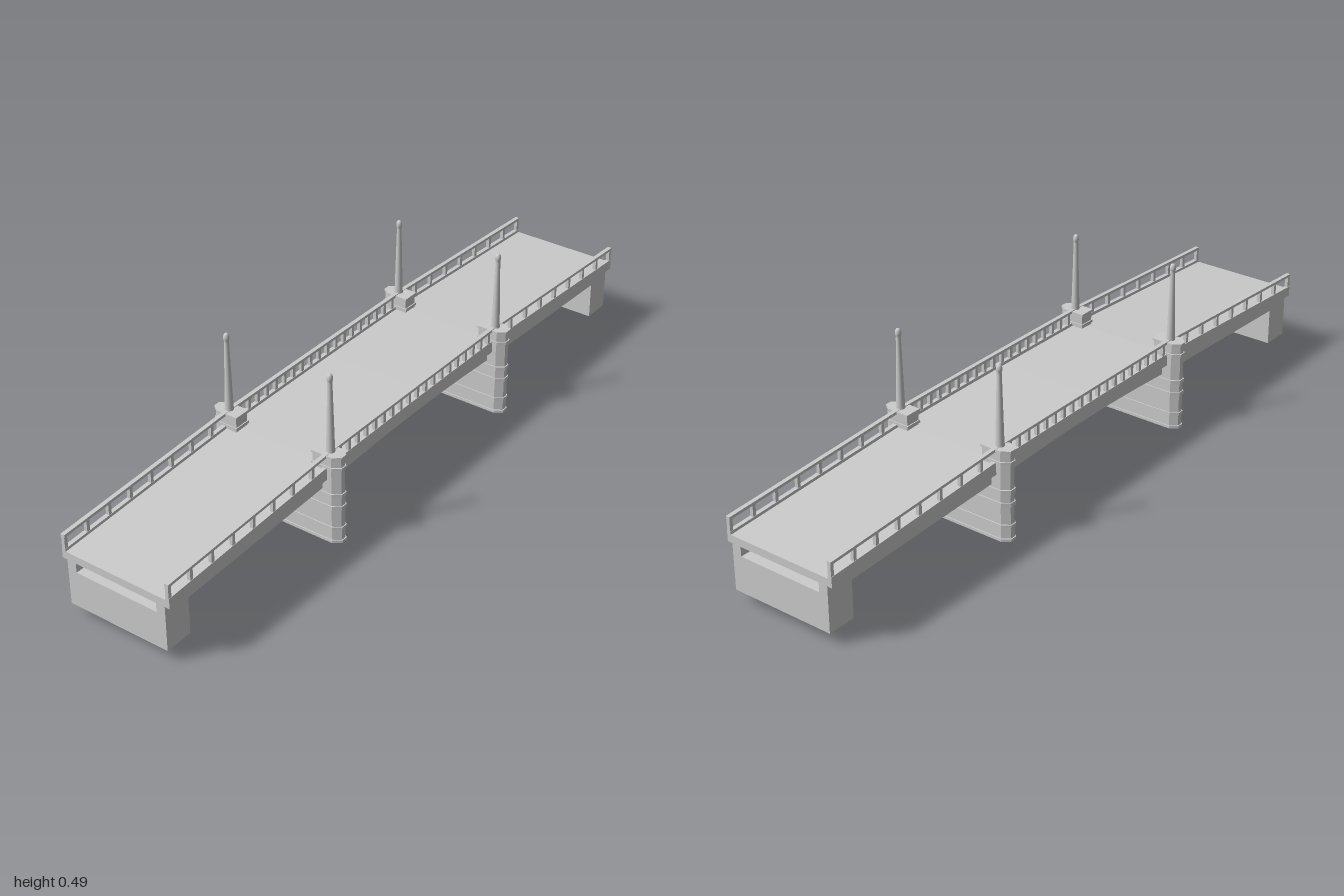
import * as THREE from 'three';

const grey = new THREE.MeshStandardMaterial({ color: 0xcccccc, flatShading: true });
const smooth = new THREE.MeshStandardMaterial({ color: 0xcccccc });

const PIER_X = 0.376, END = 1, RAIL_Z = 0.162;

function add(parent, name, geometry, material = grey) {
  const mesh = new THREE.Mesh(geometry, material);
  mesh.name = name;
  parent.add(mesh);
  return mesh;
}

function box(parent, name, x0, x1, y0, y1, z0, z1) {
  const mesh = add(parent, name, new THREE.BoxGeometry(x1 - x0, y1 - y0, z1 - z0));
  mesh.position.set((x0 + x1) / 2, (y0 + y1) / 2, (z0 + z1) / 2);
  return mesh;
}

// Height line along the bridge: rising to the piers, then a gentle crown
const line = (end, pier, mid) => (x) => {
  const a = Math.abs(x);
  if (a > PIER_X) return pier + (end - pier) * (a - PIER_X) / (END - PIER_X);
  return mid + (pier - mid) * (a / PIER_X) ** 2;
};
const roadTop = line(0.187, 0.217, 0.219);
const slabBottom = line(0.165, 0.19, 0.199);
const girderBottom = line(0.138, 0.158, 0.171);
const kerbTop = line(0.195, 0.226, 0.228);
const railTop = line(0.235, 0.264, 0.265);

// Solid strip between two height lines, extruded across z
function strip(parent, name, bottom, top, z0, z1) {
  const xs = [-END];
  for (let i = -8; i <= 8; i++) xs.push(PIER_X * i / 8);
  xs.push(END);
  const points = xs.map((x) => new THREE.Vector2(x, bottom(x)));
  xs.reverse().forEach((x) => points.push(new THREE.Vector2(x, top(x))));
  const geometry = new THREE.ExtrudeGeometry(new THREE.Shape(points), { depth: z1 - z0, bevelEnabled: false });
  geometry.translate(0, 0, z0);
  return add(parent, name, geometry);
}

// Upright prism with a chamfered nose at +z; the other end is flat or mirrored
function noseBlock(parent, name, y0, y1, inner, grow = 0) {
  const w = 0.022 + grow, n = 0.008 + grow / 2, tip = 0.202 + grow, shoulder = 0.181 + grow;
  const half = [[w, shoulder], [n, tip], [-n, tip], [-w, shoulder]];
  const tail = inner === null
    ? half.map(([x, z]) => [-x, -z])
    : [[-w, inner - grow], [w, inner - grow]];
  const shape = new THREE.Shape([...half, ...tail].map(([x, z]) => new THREE.Vector2(x, -z)));
  const geometry = new THREE.ExtrudeGeometry(shape, { depth: y1 - y0, bevelEnabled: false });
  geometry.rotateX(-Math.PI / 2);
  geometry.translate(0, y0, 0);
  return add(parent, name, geometry);
}

function createPier() {
  const pier = new THREE.Group();
  pier.name = 'pier';
  noseBlock(pier, 'pierWall', 0, 0.165, null);
  // String courses around the wall
  for (const [y0, y1] of [[0, 0.008], [0.041, 0.049], [0.102, 0.113], [0.138, 0.15]]) {
    noseBlock(pier, 'pierBand', y0, y1, null, 0.003);
  }

  // Pedestals rising past the deck, each with a tapered mast
  const mastProfile = [
    [0, 0.255], [0.0125, 0.255], [0.0125, 0.262], [0.0115, 0.268], [0.0065, 0.462],
    [0.0062, 0.467], [0.0078, 0.471], [0.0082, 0.477], [0.007, 0.484], [0.004, 0.488], [0, 0.489],
  ].map(([r, y]) => new THREE.Vector2(r, y));
  for (const side of [1, -1]) {
    const tower = new THREE.Group();
    tower.name = 'pierTower';
    noseBlock(tower, 'pedestal', 0.16, 0.258, 0.123);
    noseBlock(tower, 'pedestalBand', 0.222, 0.23, 0.123, 0.003);
    noseBlock(tower, 'pedestalCap', 0.256, 0.262, 0.123, 0.003);
    add(tower, 'mast', new THREE.LatheGeometry(mastProfile, 16), smooth).position.z = 0.163;
    tower.rotation.y = side > 0 ? 0 : Math.PI;
    pier.add(tower);
  }
  return pier;
}

function createAbutment() {
  const abutment = new THREE.Group();
  abutment.name = 'abutment';
  box(abutment, 'abutmentBlock', 0.918, 1, 0.034, 0.138, -0.153, 0.153);
  // Bearing recess under the end of the deck
  box(abutment, 'recessWall', 0.918, 0.95, 0.138, 0.168, -0.126, 0.126);
  for (const s of [1, -1]) {
    box(abutment, 'recessCheek', 0.918, 1, 0.138, 0.168, s > 0 ? 0.126 : -0.153, s > 0 ? 0.153 : -0.126);
  }
  return abutment;
}

function createRailing(side) {
  const railing = new THREE.Group();
  railing.name = 'railing';
  const z = side * RAIL_Z;
  strip(railing, 'kerb', slabBottom, kerbTop, z - 0.006, z + 0.006);
  strip(railing, 'topRail', (x) => railTop(x) - 0.008, railTop, z - 0.006, z + 0.006);

  const posts = [];
  for (let i = -5; i <= 5; i++) posts.push(i * PIER_X / 5);
  for (let i = 1; i <= 8; i++) {
    const x = PIER_X + (END - 0.005 - PIER_X) * i / 8;
    posts.push(x, -x);
  }
  // Intermediate posts of the middle span
  for (let i = -5; i < 5; i++) posts.push((i + 0.5) * PIER_X / 5);
  for (const x of posts) {
    box(railing, 'railPost', x - 0.005, x + 0.005, kerbTop(x) - 0.004, railTop(x) - 0.004, z - 0.005, z + 0.005);
  }
  return railing;
}

export function createModel() {
  const bridge = new THREE.Group();
  bridge.name = 'bridge';

  // Road slab, with the arched girder set in below it
  strip(bridge, 'roadSlab', slabBottom, roadTop, -0.157, 0.157);
  const girder = new THREE.Group();
  girder.name = 'girder';
  bridge.add(girder);
  const span = 0.918;
  const xs = Array.from({ length: 25 }, (_, i) => -span + (2 * span * i) / 24);
  const outline = xs.map((x) => new THREE.Vector2(x, girderBottom(x)));
  xs.reverse().forEach((x) => outline.push(new THREE.Vector2(x, slabBottom(x) + 0.004)));
  const girderGeometry = new THREE.ExtrudeGeometry(new THREE.Shape(outline), { depth: 0.306, bevelEnabled: false });
  girderGeometry.translate(0, 0, -0.153);
  add(girder, 'archedGirder', girderGeometry);

  for (const side of [1, -1]) {
    bridge.add(createRailing(side));

    const pier = createPier();
    pier.position.x = side * PIER_X;
    bridge.add(pier);

    const abutment = createAbutment();
    abutment.rotation.y = side > 0 ? 0 : Math.PI;
    bridge.add(abutment);
  }
  return bridge;
}
